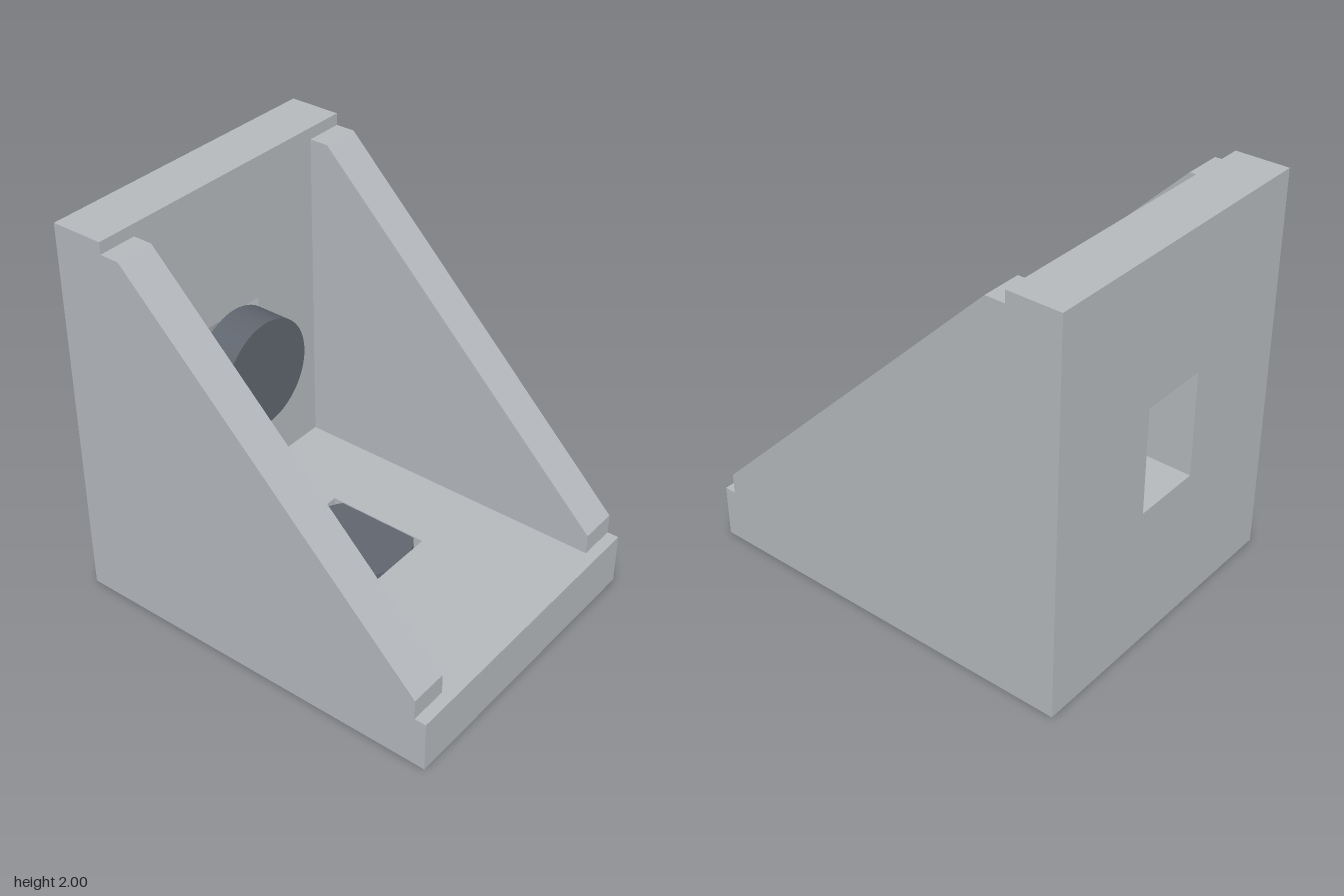
import * as THREE from 'three';

const T = 0.27;        // plate thickness
const HALF_W = 0.79;   // half depth of the bracket
const RIB = 0.2;       // rib thickness

const lightGrey = new THREE.MeshStandardMaterial({ color: 0xb4b8bc });
lightGrey.name = 'light grey';
const darkGrey = new THREE.MeshStandardMaterial({ color: 0x5f656e });
darkGrey.name = 'dark grey';

function add(parent, name, geometry, material) {
  const mesh = new THREE.Mesh(geometry, material);
  mesh.name = name;
  parent.add(mesh);
  return mesh;
}

function polygon(points) {
  return new THREE.Shape(points.map(([x, y]) => new THREE.Vector2(x, y)));
}

function rectangle(x0, x1, y0, y1) {
  return [[x0, y0], [x1, y0], [x1, y1], [x0, y1]];
}

// Flat plate with one rectangular slot
function slottedPlate(outline, slot) {
  const shape = polygon(outline);
  shape.holes.push(polygon(slot.reverse()));
  return new THREE.ExtrudeGeometry(shape, { depth: T, bevelEnabled: false });
}

export function createModel() {
  const bracket = new THREE.Group();
  bracket.name = 'cornerBracket';

  // Base plate, lying flat
  const base = slottedPlate(
    rectangle(-1, 1, -HALF_W, HALF_W),
    rectangle(-0.27, 0.27, -0.18, 0.18));
  base.rotateX(-Math.PI / 2);
  add(bracket, 'basePlate', base, lightGrey);

  // Upright plate, standing on the base
  const wall = slottedPlate(
    rectangle(-HALF_W, HALF_W, T, 2),
    rectangle(-0.18, 0.18, 0.73, 1.27));
  wall.rotateY(Math.PI / 2).translate(-1, 0, 0);
  add(bracket, 'uprightPlate', wall, lightGrey);

  // Triangular ribs along both sides
  const ribShape = polygon([
    [-1 + T, T], [0.94, T], [0.94, 0.375], [-0.63, 1.94], [-1 + T, 1.94],
  ]);
  for (const [name, z] of [['frontRib', HALF_W - RIB], ['backRib', -HALF_W]]) {
    const rib = new THREE.ExtrudeGeometry(ribShape, { depth: RIB, bevelEnabled: false });
    add(bracket, name, rib, lightGrey).position.z = z;
  }

  // Bolt heads: one against the upright, one sunk in the base
  const head = new THREE.CylinderGeometry(0.283, 0.283, 0.195, 64);
  const wallBolt = add(bracket, 'uprightBoltHead', head, darkGrey);
  wallBolt.rotation.z = Math.PI / 2;
  wallBolt.position.set(-0.6325, 1, 0);
  add(bracket, 'baseBoltHead', head, darkGrey).position.y = 0.167;

  return bracket;
}
